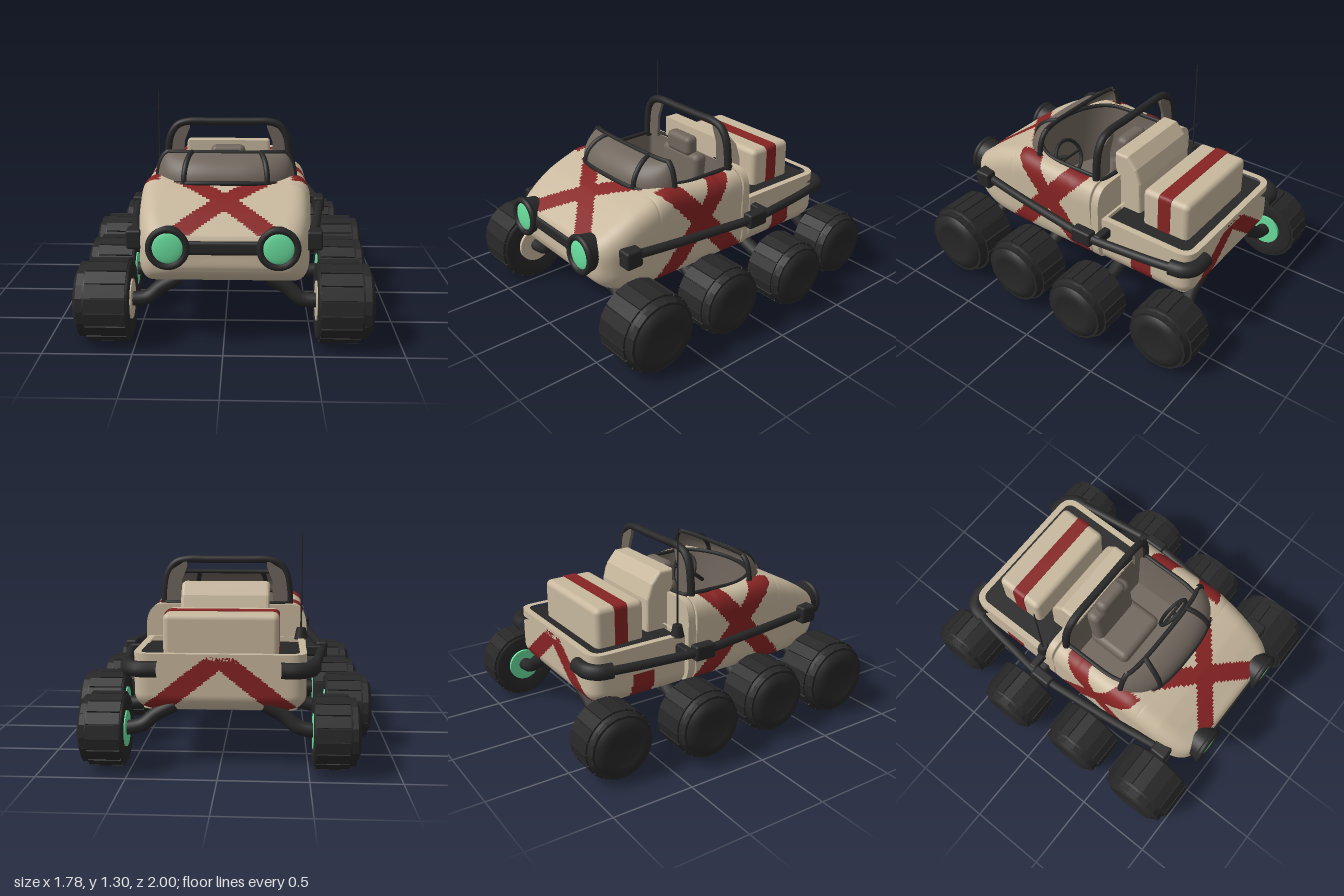
import * as THREE from 'three';
import { RoundedBoxGeometry } from 'three/addons/geometries/RoundedBoxGeometry.js';

const mat = (name, color, side = THREE.FrontSide) => {
  const m = new THREE.MeshStandardMaterial({ color, side });
  m.name = name;
  return m;
};
const V = (x, y, z) => new THREE.Vector3(x, y, z);

export function createModel() {
  const root = new THREE.Group();
  root.name = 'eightWheelBuggy';
  const beige = mat('beigePaint', 0xc8b89e), red = mat('redPaint', 0x862323);
  const dark = mat('darkRubber', 0x272727), green = mat('greenGlow', 0x68dc9c);
  const grey = mat('greyTrim', 0x70665d, THREE.DoubleSide);

  const add = (name, geo, material, x = 0, y = 0, z = 0, parent = root) => {
    const m = new THREE.Mesh(geo, material);
    m.name = name;
    m.position.set(x, y, z);
    parent.add(m);
    return m;
  };
  const box = (name, w, h, d, r, material, x, y, z) =>
    add(name, new RoundedBoxGeometry(w, h, d, 3, r), material, x, y, z);
  const tube = (name, pts, r, material, closed = false, n = 48) =>
    add(name, new THREE.TubeGeometry(new THREE.CatmullRomCurve3(pts, closed), n, r, 10, closed), material);

  // Smooth grid from rows of points; faces where painted(point) holds form group 1
  const grid = (rows, painted = () => false) => {
    const n = rows[0].length, pos = rows.flat().flatMap((p) => [p.x, p.y, p.z]);
    const idx = [[], []];
    for (let i = 0; i < rows.length - 1; i++) for (let j = 0; j < n - 1; j++) {
      const a = i * n + j, b = a + n;
      const mid = rows[i][j].clone().add(rows[i + 1][j + 1]).multiplyScalar(0.5);
      idx[painted(mid) ? 1 : 0].push(a, b, a + 1, b, b + 1, a + 1);
    }
    const g = new THREE.BufferGeometry();
    g.setAttribute('position', new THREE.Float32BufferAttribute(pos, 3));
    g.setIndex(idx[0].concat(idx[1]));
    g.addGroup(0, idx[0].length, 0);
    g.addGroup(idx[0].length, idx[1].length, 1);
    g.computeVertexNormals();
    return g;
  };

  // Front hull: cross-sections along z, open at the top over the cockpit
  const profile = [ // z, half width, bottom, top
    [-0.178, 0.5, 0.34, 0.86], [-0.06, 0.5, 0.34, 0.86], [0.06, 0.5, 0.34, 0.86], [0.18, 0.5, 0.34, 0.863],
    [0.3, 0.5, 0.34, 0.872], [0.42, 0.498, 0.34, 0.885], [0.54, 0.494, 0.34, 0.855], [0.66, 0.486, 0.345, 0.81],
    [0.76, 0.474, 0.36, 0.755], [0.84, 0.45, 0.39, 0.705], [0.89, 0.41, 0.43, 0.672], [0.91, 0.35, 0.47, 0.645],
    [0.914, 0.01, 0.56, 0.58]];
  const plan = new THREE.CatmullRomCurve3(profile.map((p) => V(p[0], p[1], 0)));
  const height = new THREE.CatmullRomCurve3(profile.map((p) => V(p[2], p[3], 0)));
  const opening = (z) => (z < -0.12 || z > 0.52 ? 0 : 0.385 * Math.sqrt(1 - Math.max(0, (z - 0.15) / 0.37) ** 3));
  const section = (t, open) => {
    const { x: z, y: w } = plan.getPoint(t), { x: bot, y: top } = height.getPoint(t), h = top - bot;
    const rx = Math.min(0.11, w * 0.5), ry = Math.min(0.14, h * 0.4);
    const half = new THREE.Path().moveTo(open ? opening(z) : 0, top);
    half.lineTo(w - rx, top).quadraticCurveTo(w, top, w, top - ry);
    half.lineTo(w, bot + ry * 0.7).quadraticCurveTo(w - rx * 0.1, bot, w - rx * 0.7, bot).lineTo(0, bot);
    const pts = half.getSpacedPoints(64).map((p) => V(p.x, p.y, z));
    return pts.concat(pts.slice(0, -1).reverse().map((p) => V(-p.x, p.y, z)));
  };
  const crossPaint = (p) => {
    const x = Math.abs(p.x);
    const side = x > 0.39 && p.z < 0.62 && Math.abs(Math.abs(p.z - 0.21) - Math.abs(p.y - 0.66) * 0.88) < 0.08;
    const hood = p.z > 0.5 && p.z < 0.9 && p.y > 0.62 && Math.abs(x - Math.abs(p.z - 0.68) * 1.2) < 0.08 && x < 0.32;
    return side || hood;
  };
  const hullRows = [];
  for (let i = 0; i <= 170; i++) hullRows.push(section(i / 170, true));
  add('frontHull', grid(hullRows, crossPaint), [beige, red]);
  const wall = new THREE.ShapeGeometry(new THREE.Shape(section(0, false).map((p) => new THREE.Vector2(p.x, p.y))));
  add('hullRearWall', wall.rotateY(Math.PI), beige, 0, 0, -0.178);

  // Cockpit tub, floor and rim
  const rim = [];
  for (let i = 0; i <= 30; i++) {
    const z = -0.12 + 0.64 * Math.sin((i / 30) * Math.PI / 2);
    rim.push(V(opening(z), 0.864 + 0.014 * THREE.MathUtils.smoothstep(z, 0.2, 0.4), z));
  }
  rim.push(...rim.slice().reverse().map((p) => V(-p.x, p.y, p.z)));
  const closedRim = [...rim, rim[0]];
  add('cockpitTub', grid([0, 0.3, 0.7, 1].map((v) => closedRim.map((p) =>
    V(p.x * (1 - 0.12 * v * v), p.y + (0.48 - p.y) * v, p.z - (p.z - 0.2) * 0.1 * v * v)))), grey);
  const floor = new THREE.ShapeGeometry(new THREE.Shape(rim.map((p) => new THREE.Vector2(p.x * 0.9, p.z * 0.9 + 0.02))));
  add('cockpitFloor', floor.rotateX(Math.PI / 2), grey, 0, 0.481, 0);
  tube('cockpitRim', rim, 0.013, dark, true, 120);

  // Curved windscreen with frame and straps
  const visor = (s, v) => {
    const c = Math.cos(s), a = v * 1.42;
    return V(0.41 * Math.sign(c) * Math.abs(c) ** 0.7 * (1 - 0.16 * v * v),
      0.868 - 0.03 * c * c * (1 - v) + 0.15 * Math.sin(a), 0.34 + 0.2 * Math.sin(s) * Math.cos(a));
  };
  const arc = (n, f) => Array.from({ length: n + 1 }, (_, i) => f(i / n));
  add('windscreen', grid(arc(14, (v) => arc(48, (u) => visor(u * Math.PI, v)))), grey);
  for (const v of [0, 1]) tube('windscreenFrame', arc(30, (u) => visor(u * Math.PI, v)), 0.014, dark);
  for (const s of [0.02, 1.08, Math.PI - 1.08, Math.PI - 0.02])
    tube('windscreenStrap', arc(10, (v) => visor(s, v)), 0.017, dark, false, 20);

  // Seat and steering wheel
  box('seatCushion', 0.37, 0.12, 0.3, 0.04, grey, 0, 0.54, 0.06);
  box('seatBack', 0.35, 0.36, 0.1, 0.04, grey, 0, 0.7, -0.06).rotation.x = -0.12;
  box('headrest', 0.22, 0.13, 0.09, 0.035, grey, 0, 0.92, -0.06);
  add('steeringWheel', new THREE.TorusGeometry(0.11, 0.012, 8, 32), dark, 0.21, 0.78, 0.28).rotation.x = 0.45;
  const spoke = new THREE.CylinderGeometry(0.009, 0.009, 0.21, 8).rotateZ(Math.PI / 2);
  add('steeringSpoke', spoke, dark, 0.21, 0.78, 0.28).rotation.x = 0.45;
  tube('steeringColumn', [V(0.21, 0.78, 0.28), V(0.21, 0.74, 0.36), V(0.21, 0.68, 0.44)], 0.014, dark, false, 8);

  // Roll bar with corner gussets
  const barSide = [[0.395, 0.84], [0.39, 0.95], [0.37, 1.05], [0.325, 1.11], [0.25, 1.132], [0.12, 1.132]];
  tube('rollBar', [...barSide.map(([x, y]) => V(x, y, -0.09)),
    ...barSide.slice().reverse().map(([x, y]) => V(-x, y, -0.09))], 0.024, dark, false, 80).scale.z = 1;
  for (const s of [1, -1]) {
    const gusset = [[0.39, 0.86], [0.385, 0.98], [0.36, 1.06], [0.25, 1.13], [0.25, 1.09], [0.285, 1], [0.29, 0.86]];
    const shape = new THREE.Shape(gusset.map(([x, y]) => new THREE.Vector2(s * x, y)));
    add('rollBarGusset', new THREE.ExtrudeGeometry(shape, { depth: 0.02, bevelEnabled: false }), grey, 0, 0, -0.11);
  }

  // Rear bed: rounded outline stacked upward, with a raised rim and dark deck
  const outline = (k) => {
    const x = 0.485 - k, f = -0.195 - k * 0.4, b = -0.82 + k, r = 0.1 - k;
    return new THREE.Shape().moveTo(-x, f).lineTo(x, f).lineTo(x, b + r).quadraticCurveTo(x, b, x - r, b)
      .lineTo(-x + r, b).quadraticCurveTo(-x, b, -x, b + r).lineTo(-x, f);
  };
  const bedPaint = (p) => {
    const x = Math.abs(p.x);
    const stripe = x > 0.42 && p.y < 0.49 && p.z < -0.41 && p.z > -0.56;
    return stripe || (p.z < -0.765 && x < 0.44 && p.y < 0.645 && Math.abs(x - (0.64 - p.y) * 1.25) < 0.085);
  };
  const bedLoop = outline(0).getSpacedPoints(260);
  const bedRows = arc(44, (v) => {
    const y = 0.34 + 0.32 * v, k = 1 - 0.1 * Math.max(0, 1 - v / 0.28) ** 2;
    return bedLoop.map((p) => V(p.x * k, y, -0.195 + (p.y + 0.195) * (1 - (1 - k) * 0.8)));
  });
  // Columns run around the outline and rows run upward
  const columns = bedLoop.map((_, j) => bedRows.map((r) => r[j]));
  add('bedHull', grid(columns, bedPaint), [beige, red]);
  const slab = (name, shape, depth, y, material) =>
    add(name, new THREE.ExtrudeGeometry(shape, { depth, bevelEnabled: false }).rotateX(Math.PI / 2), material, 0, y, 0);
  const rimShape = outline(0);
  rimShape.holes.push(outline(0.04));
  slab('bedRim', rimShape, 0.05, 0.663, beige);
  slab('bedDeck', outline(0.02), 0.01, 0.63, dark);
  slab('bedUnderside', outline(0.05), 0.01, 0.35, beige);

  // Engine hump behind the cockpit
  const hump = new THREE.Shape([[0.15, 0.6], [0.15, 0.985], [0.22, 0.985], [0.275, 0.92], [0.305, 0.83], [0.31, 0.6]]
    .map(([z, y]) => new THREE.Vector2(z, y)));
  const humpGeo = new THREE.ExtrudeGeometry(hump, { depth: 0.5, bevelSize: 0.015, bevelThickness: 0.02, bevelSegments: 3 });
  add('engineHump', humpGeo.rotateY(Math.PI / 2), beige, -0.25, 0, 0);

  // Cargo case with painted stripe
  box('cargoCase', 0.66, 0.27, 0.32, 0.035, beige, 0, 0.735, -0.54);
  const band = new THREE.Shape().moveTo(-0.334, 0.6).lineTo(0.334, 0.6).lineTo(0.334, 0.84)
    .quadraticCurveTo(0.334, 0.874, 0.3, 0.874).lineTo(-0.3, 0.874).quadraticCurveTo(-0.334, 0.874, -0.334, 0.84);
  add('cargoStripe', new THREE.ExtrudeGeometry(band, { depth: 0.085, bevelEnabled: false }), red, 0, 0, -0.58);

  // Antenna
  add('antennaBase', new THREE.CylinderGeometry(0.028, 0.042, 0.07, 16), dark, -0.465, 0.69, -0.235);
  add('antenna', new THREE.CylinderGeometry(0.004, 0.006, 0.62, 8), dark, -0.465, 1.0, -0.235);

  // Grille bar
  box('grilleBar', 0.42, 0.08, 0.06, 0.02, dark, 0, 0.595, 0.9);

  const wheels = [ // inner x, y, z, radius, width
    [0.52, 0.24, 0.76, 0.236, 0.32], [0.56, 0.245, 0.247, 0.214, 0.29],
    [0.61, 0.245, -0.27, 0.208, 0.28], [0.52, 0.228, -0.79, 0.21, 0.26]];
  const makeWheel = (R, W, hubMat) => {
    const g = new THREE.Group();
    g.name = 'wheel';
    const pts = [[0, 0.08], [0.5, 0.07], [0.56, 0.01], [0.88, 0], [0.95, 0.06], [0.95, 0.76], [0.87, 0.82], [0.85, 0.9],
      [0.68, 0.99], [0.5, 1], [0.44, 0.95], [0, 0.95]].map(([r, y]) => new THREE.Vector2(r * R, y * W));
    add('tyre', new THREE.LatheGeometry(pts, 40).rotateZ(-Math.PI / 2), dark, 0, 0, 0, g);
    add('hub', new THREE.CylinderGeometry(R * 0.48, R * 0.48, 0.02, 28).rotateZ(Math.PI / 2), hubMat, 0.01, 0, 0, g);
    const n = 18, len = (2 * Math.PI * R / n) * 0.9;
    for (let i = 0; i < n; i++) {
      const a = (i / n) * Math.PI * 2;
      for (const [r, w, x] of [[0.95, 0.7, 0.4], [0.85, 0.12, 0.85]]) {
        const lug = add('treadLug', new THREE.BoxGeometry(W * w, R * 0.09, len), dark,
          W * x, Math.cos(a) * R * r, Math.sin(a) * R * r, g);
        lug.rotation.x = a;
      }
    }
    return g;
  };

  for (const s of [1, -1]) {
    // Headlights
    const lamp = new THREE.Group();
    lamp.name = 'headlight';
    lamp.position.set(s * 0.3, 0.6, 0.905);
    lamp.rotation.x = -0.06;
    root.add(lamp);
    add('lampHousing', new THREE.CylinderGeometry(0.112, 0.105, 0.09, 32).rotateX(Math.PI / 2), dark, 0, 0, -0.01, lamp);
    add('lampRing', new THREE.TorusGeometry(0.102, 0.019, 10, 36), dark, 0, 0, 0.04, lamp);
    const lens = new THREE.SphereGeometry(0.09, 28, 10, 0, Math.PI * 2, 0, Math.PI / 2).rotateX(Math.PI / 2).scale(1, 1, 0.2);
    add('lampLens', lens, green, 0, 0, 0.036, lamp);

    // Side rail wrapping round the rear, with clamps
    tube('sideRail', [[0.49, 0.6, 0.76], [0.535, 0.595, 0.45], [0.575, 0.59, 0.1], [0.595, 0.585, -0.15], [0.57, 0.58, -0.4],
      [0.53, 0.58, -0.7], [0.505, 0.58, -0.79]].map(([x, y, z]) => V(s * x, y, z)), 0.027, dark);
    tube('railRearBend', [[0.525, 0.58, -0.71], [0.505, 0.58, -0.79], [0.45, 0.58, -0.835], [0.34, 0.58, -0.84]]
      .map(([x, y, z]) => V(s * x, y, z)), 0.046, dark);
    box('railFrontClamp', 0.09, 0.11, 0.11, 0.015, dark, s * 0.505, 0.6, 0.74);
    box('railMiddleClamp', 0.07, 0.095, 0.14, 0.015, dark, s * 0.595, 0.585, -0.14);
    box('railBracket', 0.12, 0.06, 0.05, 0.01, dark, s * 0.53, 0.585, -0.235);

    // Wheels on curved suspension arms
    wheels.forEach(([x, y, z, R, W], i) => {
      const wheel = makeWheel(R, W, i === 0 ? beige : green);
      wheel.position.set(s * x, y, z);
      wheel.rotation.y = s > 0 ? 0 : Math.PI;
      root.add(wheel);
      tube('suspensionArm', [V(s * 0.25, 0.37, z * 0.97), V(s * 0.36, 0.31, z * 0.97),
        V(s * (x - 0.08), 0.25, z * 0.99), V(s * (x + 0.03), y, z)], 0.042, dark, false, 24);
    });
  }
  return root;
}
